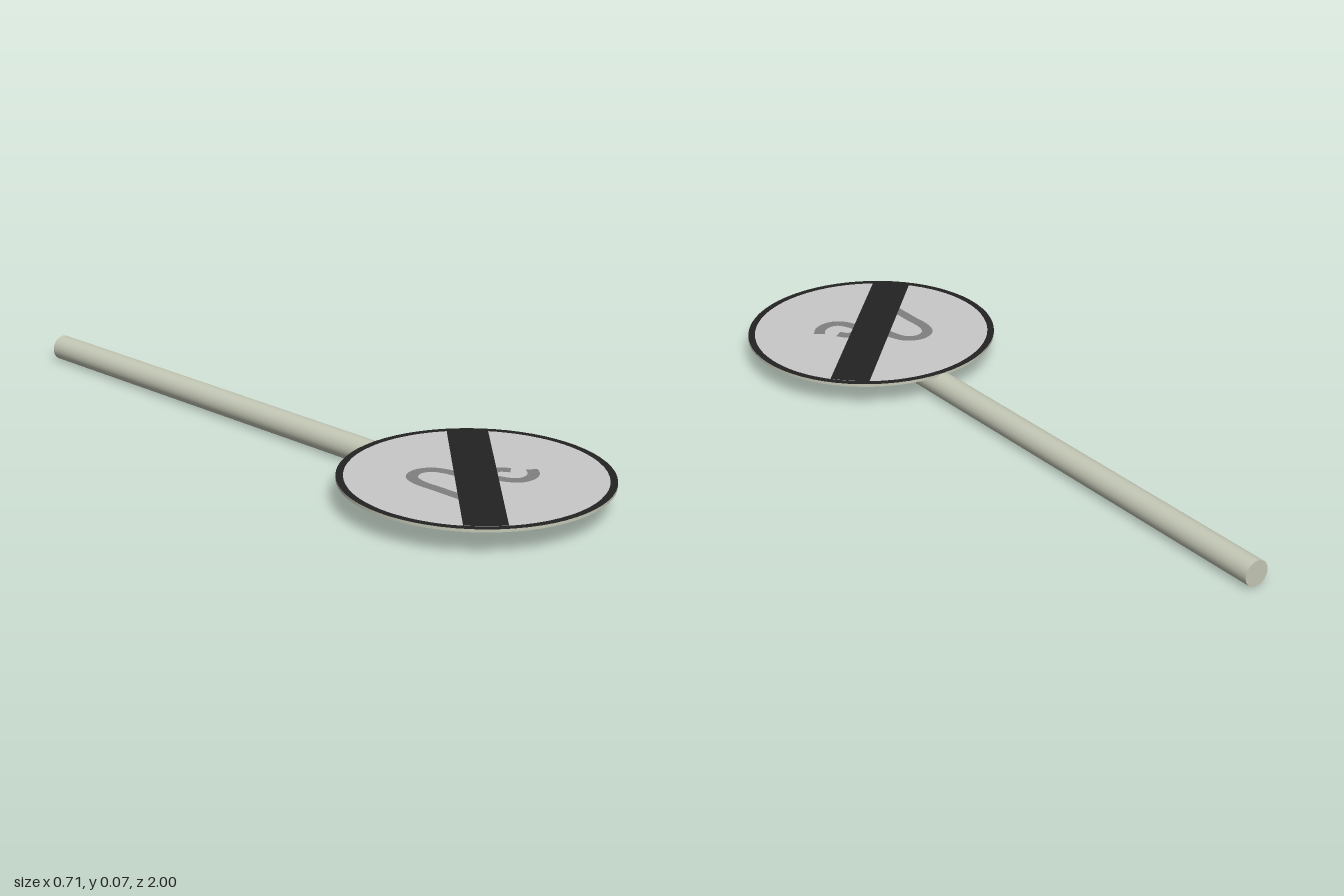
import * as THREE from 'three';

const mat = (name, color, side = THREE.FrontSide) => {
  const m = new THREE.MeshStandardMaterial({ color, side });
  m.name = name;
  return m;
};

const PLATE_R = 0.355, FACE_R = 0.336, HALF_STRIPE = 0.055, THICK = 0.008, TOP = 0.073;

// Flat ribbon of constant width following a curve in the xy plane
function ribbon(points, width, steps = 40) {
  const curve = new THREE.CatmullRomCurve3(points.map(([x, y]) => new THREE.Vector3(x, y, 0)));
  const pos = [], index = [];
  for (let i = 0; i <= steps; i++) {
    const p = curve.getPointAt(i / steps), t = curve.getTangentAt(i / steps);
    for (const s of [1, -1]) pos.push(p.x - t.y * s * width / 2, p.y + t.x * s * width / 2, 0);
    if (i < steps) {
      const a = i * 2;
      index.push(a, a + 1, a + 2, a + 1, a + 3, a + 2);
    }
  }
  const g = new THREE.BufferGeometry();
  g.setAttribute('position', new THREE.Float32BufferAttribute(pos, 3));
  g.setIndex(index);
  g.computeVertexNormals();
  return g;
}

export function createModel() {
  const model = new THREE.Group();
  model.name = 'roadSign';
  const metal = mat('paleMetal', 0xc4c8b6);
  const grey = mat('lightGrey', 0xc8c8c8);
  const black = mat('black', 0x222222);
  const dark = mat('midGrey', 0x808080);

  const add = (parent, name, geometry, material, x = 0, y = 0, z = 0) => {
    const mesh = new THREE.Mesh(geometry, material);
    mesh.name = name;
    mesh.position.set(x, y, z);
    parent.add(mesh);
    return mesh;
  };

  // Pole lying along z
  const pole = add(model, 'pole', new THREE.CylinderGeometry(0.0357, 0.0357, 1.685, 32), metal, 0, 0.0357, -0.1575);
  pole.rotation.x = Math.PI / 2;

  // Round plate, its painted side facing up
  const plate = new THREE.Group();
  plate.name = 'signPlate';
  plate.position.set(0, TOP, 0.645);
  plate.rotation.x = -Math.PI / 2;
  model.add(plate);

  const rim = add(plate, 'plateEdge', new THREE.CylinderGeometry(PLATE_R, PLATE_R, THICK, 64, 1, true), metal, 0, 0, -THICK / 2);
  rim.rotation.x = Math.PI / 2;
  const back = add(plate, 'plateBack', new THREE.CircleGeometry(PLATE_R, 64), metal, 0, 0, -THICK);
  back.rotation.x = Math.PI;
  add(plate, 'border', new THREE.RingGeometry(FACE_R, PLATE_R, 64), black);

  // Two face segments on either side of the diagonal stripe
  const tilt = THREE.MathUtils.degToRad(45.5);
  const a = Math.asin(HALF_STRIPE / FACE_R);
  for (const [name, turn] of [['upperFace', 0], ['lowerFace', Math.PI]]) {
    const segment = new THREE.Shape();
    segment.absarc(0, 0, FACE_R, a, Math.PI - a, false);
    add(plate, name, new THREE.ShapeGeometry(segment, 40), grey).rotation.z = tilt + turn;
  }

  // Diagonal stripe with rounded ends meeting the border
  const band = new THREE.Shape();
  band.absarc(0, 0, FACE_R, -a, a, false);
  band.absarc(0, 0, FACE_R, Math.PI - a, Math.PI + a, false);
  add(plate, 'diagonalStripe', new THREE.ShapeGeometry(band, 12), black, 0, 0, 0.001).rotation.z = tilt;

  // Grey curved symbol, partly covered by the stripe
  const strokes = {
    symbolArch: [[-0.137, -0.1], [-0.137, 0], [-0.137, 0.07], [-0.122, 0.108], [-0.085, 0.124],
      [-0.048, 0.108], [-0.03, 0.07], [-0.022, 0.03], [0, -0.01]],
    symbolHook: [[0.02, -0.03], [0.036, -0.075], [0.055, -0.098], [0.085, -0.104], [0.115, -0.092], [0.135, -0.068]],
    symbolTip: [[0.045, -0.005], [0.075, -0.012], [0.092, -0.035]],
  };
  for (const [name, points] of Object.entries(strokes)) {
    add(plate, name, ribbon(points, 0.031), dark, 0, 0, 0.0005);
  }
  return model;
}
